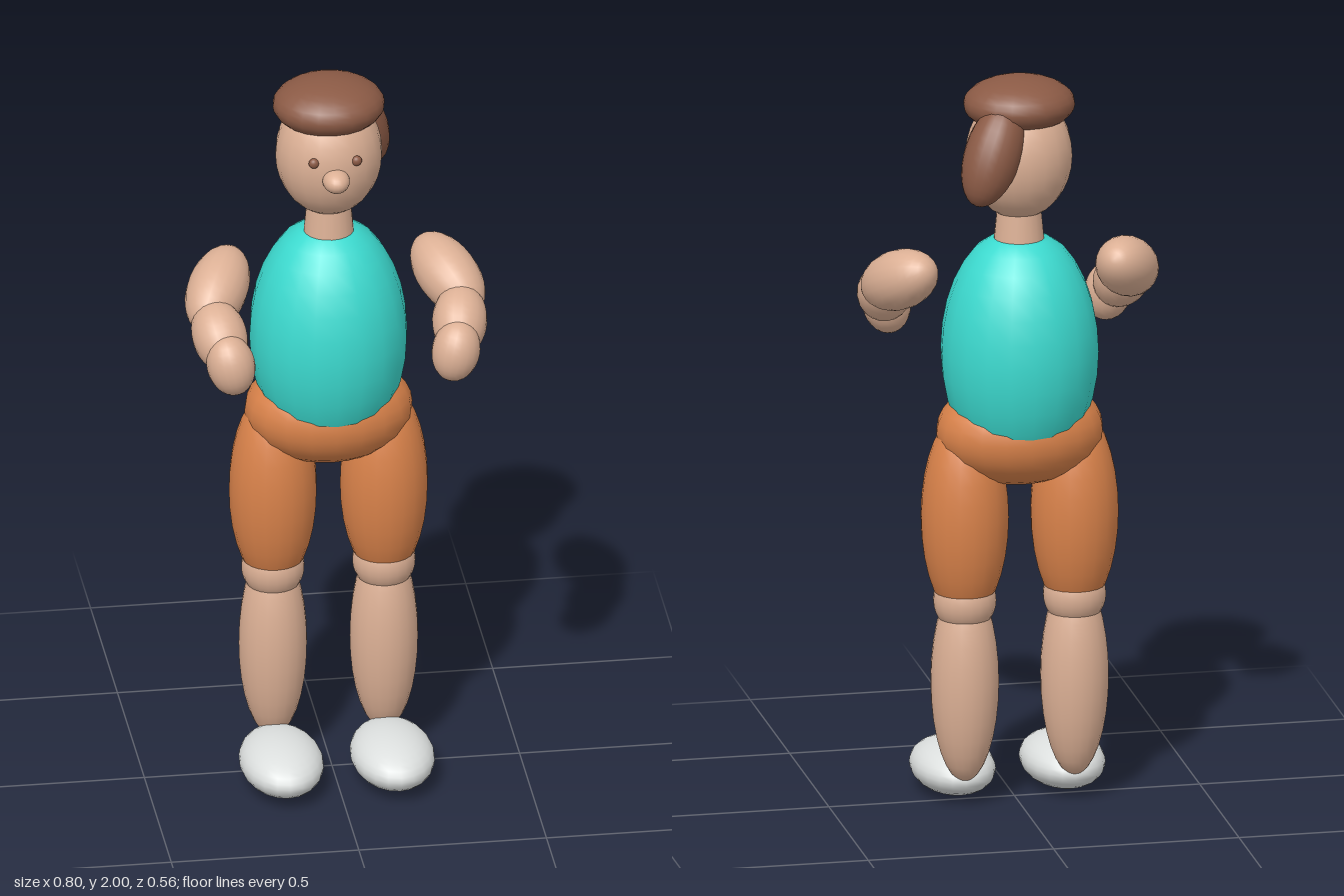
import * as THREE from 'three';

const mat = (name, color) => {
  const m = new THREE.MeshStandardMaterial({ color });
  m.name = name;
  return m;
};

export function createModel() {
  const skin = mat('skin', 0xdcb095);
  const shirt = mat('turquoise shirt', 0x3cdbd0);
  const shorts = mat('orange shorts', 0xd9824a);
  const hair = mat('brown hair', 0x8b5a45);
  const shoe = mat('pale grey shoe', 0xdcdfde);

  const model = new THREE.Group();
  model.name = 'figure';
  const up = new THREE.Vector3(0, 1, 0);

  // Ellipsoid with radii r at p; its long y axis can be turned towards dir
  function blob(parent, name, material, p, r, dir) {
    const geo = new THREE.SphereGeometry(1, 20, 16).scale(...r);
    const mesh = new THREE.Mesh(geo, material);
    mesh.name = name;
    mesh.position.set(...p);
    if (dir) mesh.quaternion.setFromUnitVectors(up, new THREE.Vector3(...dir).normalize());
    parent.add(mesh);
    return mesh;
  }

  // Torso with a flat collar, hips and neck
  const torso = blob(model, 'torso', shirt, [0, 1.25, -0.068], [0.21, 0.338, 0.21]);
  const pos = torso.geometry.attributes.position;
  for (let i = 0; i < pos.count; i++) pos.setY(i, Math.min(pos.getY(i), 0.306));
  blob(model, 'hips', shorts, [0, 1.03, -0.067], [0.224, 0.145, 0.17]);
  const neck = new THREE.Mesh(new THREE.CylinderGeometry(0.054, 0.068, 0.15, 20), skin);
  neck.name = 'neck';
  neck.position.set(0, 1.615, -0.06);
  model.add(neck);

  // Head, hair cap and side ponytail
  const head = new THREE.Group();
  head.name = 'head';
  model.add(head);
  blob(head, 'face', skin, [0, 1.785, -0.06], [0.142, 0.173, 0.137]);
  blob(head, 'nose', skin, [0, 1.767, 0.077], [0.036, 0.031, 0.046]);
  blob(head, 'hairCap', hair, [0, 1.927, -0.062], [0.149, 0.073, 0.136]);
  blob(head, 'ponytail', hair, [0.09, 1.82, -0.156], [0.076, 0.146, 0.076], [-0.36, 0.9, 0.24]);

  // Paired parts: s = 1 is left, s = -1 is right
  for (const s of [1, -1]) {
    const side = s > 0 ? 'left' : 'right';
    blob(head, side + 'Eye', hair, [s * 0.057, 1.815, 0.062], [0.014, 0.014, 0.012]);

    const arm = new THREE.Group();
    arm.name = side + 'Arm';
    model.add(arm);
    blob(arm, 'upperArm', skin, [s * 0.307, 1.437, 0.012], [0.08, 0.139, 0.08], [s * 0.41, -0.41, 0.81]);
    blob(arm, 'forearm', skin, [s * 0.32, 1.365, 0.143], [0.073, 0.103, 0.073], [s * -0.15, -0.6, 0.75]);
    blob(arm, 'hand', skin, [s * 0.3, 1.313, 0.213], [0.064, 0.084, 0.064], [s * -0.2, -0.95, 0.15]);

    const leg = new THREE.Group();
    leg.name = side + 'Leg';
    model.add(leg);
    blob(leg, 'thigh', shorts, [s * 0.148, 0.8, -0.067], [0.117, 0.285, 0.117]);
    blob(leg, 'knee', skin, [s * 0.148, 0.57, -0.067], [0.084, 0.088, 0.084]);
    blob(leg, 'calf', skin, [s * 0.148, 0.347, -0.067], [0.091, 0.278, 0.091]);
    blob(leg, 'shoe', shoe, [s * 0.148, 0.069, 0.089], [0.111, 0.069, 0.177]);
  }
  return model;
}
